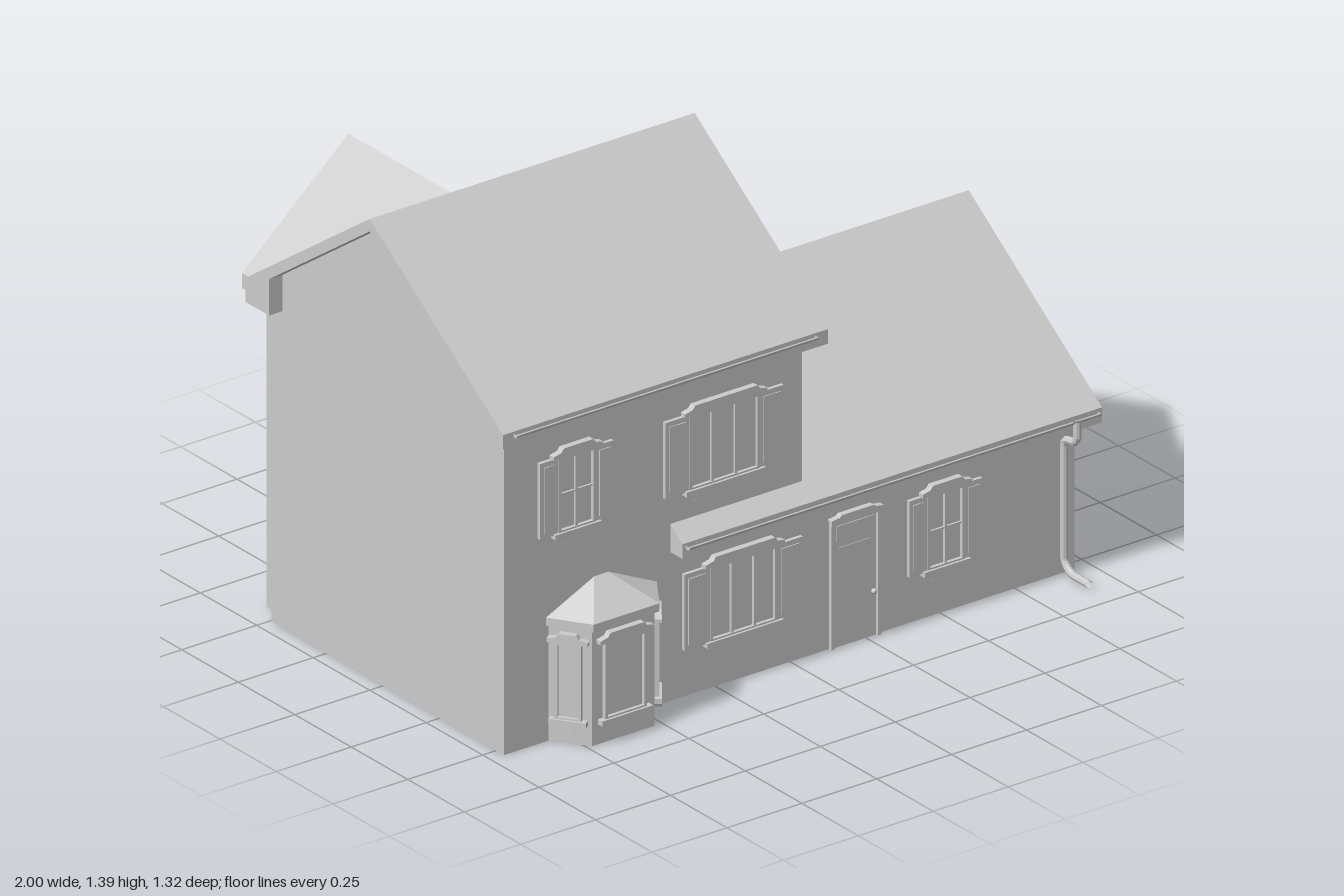
import * as THREE from 'three';
import { ConvexGeometry } from 'three/addons/geometries/ConvexGeometry.js';

const mat = new THREE.MeshStandardMaterial({ color: 0xcccccc, flatShading: true, side: THREE.DoubleSide });
const V = (x, y, z) => new THREE.Vector3(x, y, z);
const shapeOf = pts => new THREE.Shape(pts.map(p => new THREE.Vector2(...p)));

function add(parent, name, geo, x = 0, y = 0, z = 0) {
  const m = new THREE.Mesh(geo, mat);
  m.name = name;
  m.position.set(x, y, z);
  parent.add(m);
  return m;
}

// box given by its limits
function box(parent, name, x0, x1, y0, y1, z0, z1) {
  return add(parent, name, new THREE.BoxGeometry(x1 - x0, y1 - y0, z1 - z0), (x0 + x1) / 2, (y0 + y1) / 2, (z0 + z1) / 2);
}

// upright wall, running left to right as seen from outside
function wall(parent, name, [x0, z0], [x1, z1], y0, y1) {
  const m = add(parent, name, new THREE.PlaneGeometry(Math.hypot(x1 - x0, z1 - z0), y1 - y0), (x0 + x1) / 2, (y0 + y1) / 2, (z0 + z1) / 2);
  m.rotation.y = Math.atan2(z0 - z1, x1 - x0);
  return m;
}

// pointed end wall across z at a given x
function endWall(parent, name, x, zBack, zFront, ridge, slope) {
  const s = shapeOf([[zBack, 0], [zFront, 0], [zFront, ridge - slope * zFront], [0, ridge], [zBack, ridge + slope * zBack]]);
  return add(parent, name, new THREE.ShapeGeometry(s).rotateY(-Math.PI / 2), x);
}

// roof section: two slopes with boxed eaves at a (negative side) and b (positive side)
function roofGeometry(a, b, ridge, slope, drop, eaveBottom, boxWidth, length) {
  const inner = ridge - drop, ai = a - boxWidth, bi = b - boxWidth;
  return new THREE.ExtrudeGeometry(shapeOf([
    [0, ridge], [-a, ridge - slope * a], [-a, eaveBottom], [-ai, eaveBottom], [-ai, inner - slope * ai],
    [0, inner], [bi, inner - slope * bi], [bi, eaveBottom], [b, eaveBottom], [b, ridge - slope * b],
  ]), { depth: length, bevelEnabled: false });
}

// moulding with stepped, tapered ends; negative h makes it hang down
function moulding(parent, name, w, h, y, depth) {
  const a = w / 2, b = a - 0.025;
  const s = shapeOf([[-a, 0], [a, 0], [a, h * 0.4], [b, h * 0.6], [b - 0.008, h], [0.008 - b, h], [-b, h * 0.6], [-a, h * 0.4]]);
  return add(parent, name, new THREE.ExtrudeGeometry(s, { depth, bevelEnabled: false }), 0, y, 0);
}

// window facing +z; origin at the bottom middle of the opening
function makeWindow(name, w, h, shutter, bars) {
  const g = new THREE.Group();
  g.name = name;
  box(g, 'glass', -w / 2, w / 2, 0, h, 0, 0.003);
  const t = 0.009;
  for (const s of [-1, 1]) {
    box(g, 'frameSide', s * (w / 2 - t / 2) - t / 2, s * (w / 2 - t / 2) + t / 2, 0, h, 0, 0.013);
    if (shutter) {
      const c = s * (w + shutter) / 2;
      box(g, 'shutter', c - shutter / 2, c + shutter / 2, 0, h, 0, 0.011);
      box(g, 'shutterPanel', c - shutter / 2 + 0.012, c + shutter / 2 - 0.012, 0.015, h - 0.015, 0.011, 0.014);
    }
  }
  box(g, 'frameTop', -w / 2, w / 2, h - t, h, 0, 0.013);
  box(g, 'frameBottom', -w / 2, w / 2, 0, t, 0, 0.013);
  for (let i = 1; i <= bars; i++) {
    const x = -w / 2 + (w * i) / (bars + 1);
    box(g, 'upright', x - 0.004, x + 0.004, 0, h, 0, 0.011);
  }
  if (bars === 1 && w < 0.2) box(g, 'crossBar', -w / 2, w / 2, h / 2 - 0.003, h / 2 + 0.003, 0, 0.009);
  moulding(g, 'header', w + 0.04, 0.028, h, 0.019);
  moulding(g, 'sill', w + 0.03, -0.038, 0.004, 0.02);
  return g;
}

// panelled door facing +z
function makeDoor(name, w, h) {
  const g = new THREE.Group();
  g.name = name;
  const a = w / 2, t = 0.012;
  box(g, 'leaf', t - a, a - t, 0, h, 0, 0.004);
  for (const s of [-1, 1]) box(g, 'jamb', s * (a - t / 2) - t / 2, s * (a - t / 2) + t / 2, 0, h, 0, 0.012);
  box(g, 'lintel', -a, a, h - 0.012, h, 0, 0.014);
  moulding(g, 'cornice', w + 0.006, 0.016, h, 0.018);
  box(g, 'transom', 0.022 - a, a - 0.022, h - 0.065, h - 0.02, 0.004, 0.007);
  box(g, 'panel', 0.03 - a, a - 0.03, 0.03, h - 0.085, 0.004, 0.006);
  add(g, 'knob', new THREE.SphereGeometry(0.008, 10, 8), a - 0.025, 0.135, 0.012);
  return g;
}

function place(parent, g, x, y, z, turn = 0) {
  g.position.set(x, y, z);
  g.rotation.y = turn;
  parent.add(g);
}

// upright prism over a plan outline given as [x, z]
function prism(parent, name, plan, y0, y1) {
  const geo = new THREE.ExtrudeGeometry(shapeOf(plan.map(([x, z]) => [x, -z])), { depth: y1 - y0, bevelEnabled: false });
  return add(parent, name, geo.rotateX(-Math.PI / 2), 0, y0, 0);
}

export function createModel() {
  const house = new THREE.Group();
  house.name = 'house';

  // tall wing walls
  wall(house, 'tallFrontWall', [-0.955, 0.535], [0.04, 0.535], 0, 0.995);
  wall(house, 'tallBackWall', [0.04, -0.495], [-0.955, -0.495], 0, 1.02);
  for (const x of [-0.955, 0.04]) endWall(house, 'tallEndWall', x, -0.495, 0.535, 1.37, 0.7);

  // low wing walls
  wall(house, 'lowFrontWall', [0.04, 0.535], [0.95, 0.535], 0, 0.5);
  wall(house, 'lowBackWall', [0.95, -0.535], [-0.29, -0.535], 0, 0.5);
  endWall(house, 'lowEndWall', 0.95, -0.535, 0.535, 0.88, 0.7);

  // main roofs, running along x
  add(house, 'tallRoof', roofGeometry(0.55, 0.59, 1.393, 0.7, 0.037, 0.937, 0.105, 1.085).rotateY(-Math.PI / 2), 0.085);
  add(house, 'lowRoof', roofGeometry(0.595, 0.59, 0.9, 0.705, 0.037, 0.44, 0.105, 1.4).rotateY(-Math.PI / 2), 1);

  // rear gable: wall, cheeks and a roof that runs into the tall roof
  const rear = add(house, 'rearGableWall', new THREE.ShapeGeometry(shapeOf([[-0.31, 0], [0.31, 0], [0.31, 1], [0, 1.27], [-0.31, 1]])), -0.6, 0, -0.575);
  rear.rotation.y = Math.PI;
  wall(house, 'rearGableCheek', [-0.29, -0.495], [-0.29, -0.575], 0, 1);
  wall(house, 'rearGableCheek', [-0.91, -0.575], [-0.91, -0.495], 0, 1);
  const gable = roofGeometry(0.355, 0.355, 1.29, 0.873, 0.04, 0.937, 0.06, 1);
  const p = gable.attributes.position;
  for (let i = 0; i < p.count; i++) {
    p.setZ(i, p.getZ(i) < 0.5 ? -0.625 : -Math.min(0.54, (1.39 - p.getY(i)) / 0.7));
  }
  gable.computeVertexNormals();
  add(house, 'rearGableRoof', gable, -0.6);

  // gutters: [x from, x to, y, z]
  for (const [x0, x1, y, z] of [[-0.965, 0.04, 0.975, 0.598], [-0.39, 0.985, 0.477, 0.598], [-0.39, 0.985, 0.477, -0.603]]) {
    const geo = new THREE.CylinderGeometry(0.011, 0.011, x1 - x0, 8, 1, false, 0, Math.PI).rotateZ(-Math.PI / 2);
    add(house, 'gutter', geo, (x0 + x1) / 2, y, z);
  }

  // downpipes at the low end, front and back
  const path = [[0.475, 0.605], [0.425, 0.606], [0.41, 0.595], [0.405, 0.56], [0.385, 0.548], [0.2, 0.547], [0.05, 0.548], [0.025, 0.565], [0.014, 0.59], [0.014, 0.66]];
  for (const s of [1, -1]) {
    const curve = new THREE.CatmullRomCurve3(path.map(([y, z]) => V(0.905, y, s * z)), false, 'catmullrom', 0.2);
    add(house, 'downpipe', new THREE.TubeGeometry(curve, 50, 0.011, 8));
  }

  // front windows and door
  place(house, makeWindow('upperSmallWindow', 0.125, 0.225, 0.06, 1), -0.72, 0.607, 0.535);
  place(house, makeWindow('upperWideWindow', 0.235, 0.225, 0.08, 2), -0.227, 0.607, 0.535);
  place(house, makeWindow('lowerWideWindow', 0.225, 0.225, 0.085, 2), -0.163, 0.14, 0.535);
  place(house, makeWindow('lowerSmallWindow', 0.125, 0.225, 0.06, 1), 0.512, 0.14, 0.535);
  place(house, makeDoor('frontDoor', 0.167, 0.378), 0.213, 0, 0.535);

  // end window
  place(house, makeWindow('endWindow', 0.125, 0.225, 0.06, 1), 0.95, 0.503, 0, Math.PI / 2);

  // back windows and door
  place(house, makeWindow('rearUpperWindow', 0.235, 0.225, 0.08, 2), -0.597, 0.645, -0.64, Math.PI);
  place(house, makeWindow('rearLowerWindow', 0.235, 0.225, 0.08, 2), -0.597, 0.14, -0.64, Math.PI);
  place(house, makeWindow('rearSmallWindow', 0.125, 0.225, 0.06, 1), -0.125, 0.645, -0.495, Math.PI);
  place(house, makeDoor('backDoor', 0.167, 0.378), -0.135, 0, -0.535, Math.PI);

  // garage door
  const garage = new THREE.Group();
  garage.name = 'garageDoor';
  box(garage, 'panel', -0.365, 0.365, 0, 0.36, 0, 0.003);
  for (const s of [-1, 1]) box(garage, 'jamb', s * 0.357 - 0.01, s * 0.357 + 0.01, 0, 0.37, 0, 0.012);
  box(garage, 'lintel', -0.367, 0.367, 0.355, 0.375, 0, 0.014);
  box(garage, 'cap', -0.375, 0.375, 0.375, 0.387, 0, 0.018);
  place(house, garage, 0.467, 0, -0.535, Math.PI);

  // bay window
  const bay = new THREE.Group();
  bay.name = 'bayWindow';
  const plan = [[-0.81, 0.53], [-0.735, 0.632], [-0.525, 0.632], [-0.45, 0.53]];
  const eave = [[-0.818, 0.53], [-0.74, 0.647], [-0.52, 0.647], [-0.442, 0.53]];
  prism(bay, 'bayBody', plan, 0, 0.345);
  prism(bay, 'bayCornice', eave, 0.342, 0.366);
  add(bay, 'bayRoof', new ConvexGeometry([...eave.map(([x, z]) => V(x, 0.366, z)), V(-0.65, 0.445, 0.53), V(-0.61, 0.445, 0.53)]));
  for (let i = 0; i < 3; i++) {
    const [x0, z0] = plan[i], [x1, z1] = plan[i + 1];
    const w = i === 1 ? 0.14 : 0.075;
    place(bay, makeWindow('bayPane', w, 0.23, 0, 0), (x0 + x1) / 2, 0.07, (z0 + z1) / 2, Math.atan2(z0 - z1, x1 - x0));
  }
  house.add(bay);
  return house;
}
